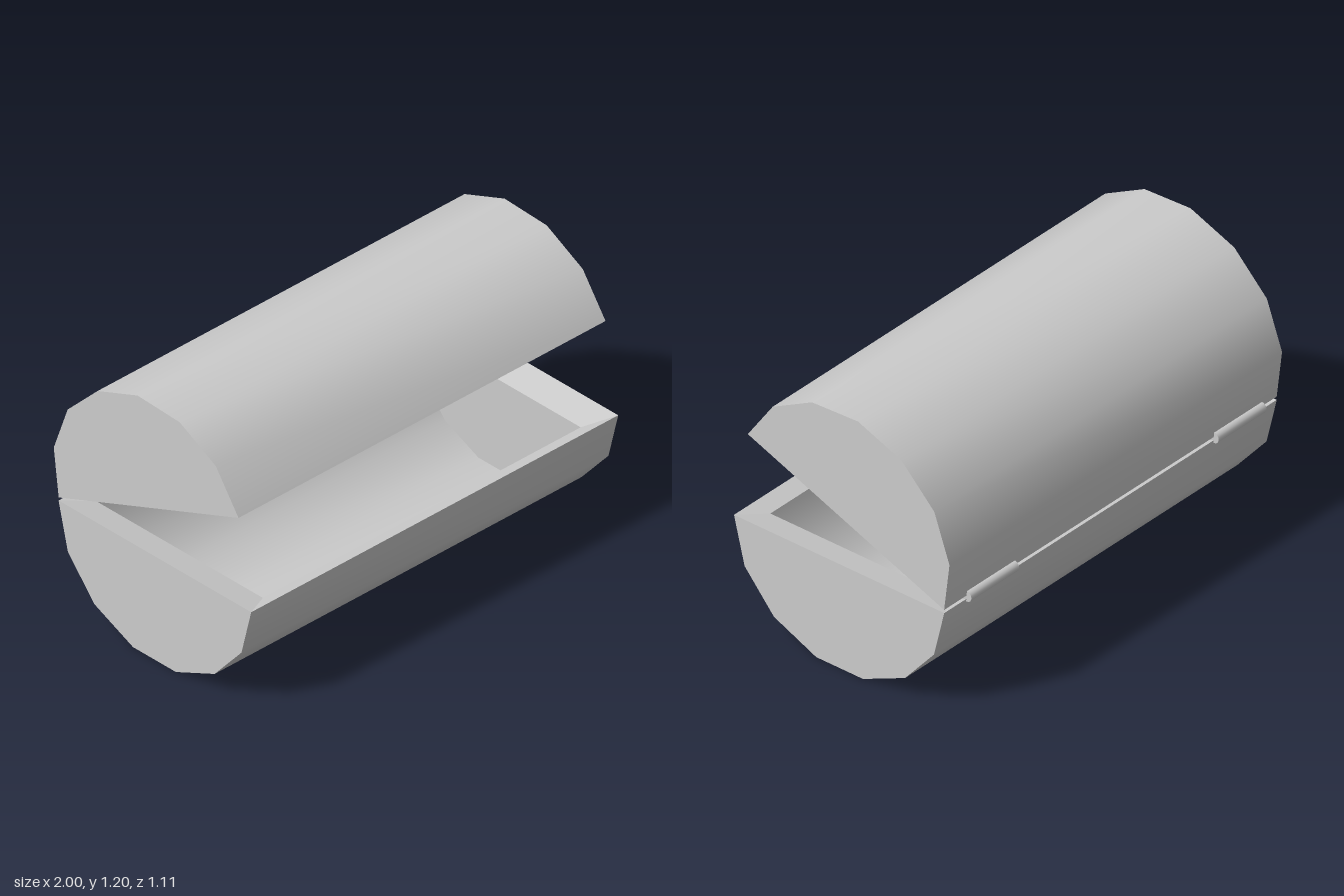
import * as THREE from 'three';
import { toCreasedNormals } from 'three/addons/utils/BufferGeometryUtils.js';

const SIDES = 7;          // facets around each half
const RZ = 0.543, RY = 0.5; // outer radii of the half drum
const INNER = 0.866, DROP = 0.03; // cavity scale and rim bevel depth

const grey = new THREE.MeshStandardMaterial({ color: 0xcccccc });
const greyFlat = new THREE.MeshStandardMaterial({ color: 0xcccccc, flatShading: true });

// Geometry from a list of polygons, each split as a fan
function fromPolygons(polygons) {
  const pos = [];
  for (const p of polygons) {
    for (let i = 1; i < p.length - 1; i++) pos.push(...p[0], ...p[i], ...p[i + 1]);
  }
  const g = new THREE.BufferGeometry();
  g.setAttribute('position', new THREE.Float32BufferAttribute(pos, 3));
  g.computeVertexNormals();
  return g;
}

// Half drum skin with end walls, open at the top; inward turns the faces round
function skin(scale, drop, inward) {
  const ring = (x) => Array.from({ length: SIDES + 1 }, (_, k) => {
    const a = (Math.PI * k) / SIDES;
    return [x * scale, -drop - RY * scale * Math.sin(a), RZ * scale * Math.cos(a)];
  });
  const left = ring(1), right = ring(-1);
  const polygons = [left, [...right].reverse()];
  for (let k = 0; k < SIDES; k++) {
    polygons.push([right[k], right[k + 1], left[k + 1], left[k]]);
  }
  if (inward) polygons.forEach((p) => p.reverse());
  return toCreasedNormals(fromPolygons(polygons), 0.7);
}

// Mitred rim sloping from the outer edge down to the cavity
function rimGeometry() {
  const corners = [[1, 1], [1, -1], [-1, -1], [-1, 1]];
  const outer = corners.map(([x, z]) => [x, 0, z * RZ]);
  const inner = corners.map(([x, z]) => [x * INNER, -DROP, z * RZ * INNER]);
  return fromPolygons(corners.map((_, i) => {
    const j = (i + 1) % 4;
    return [outer[i], outer[j], inner[j], inner[i]];
  }));
}

function addMesh(parent, name, geometry, material = grey) {
  const mesh = new THREE.Mesh(geometry, material);
  mesh.name = name;
  parent.add(mesh);
  return mesh;
}

function makeHalf(name) {
  const half = new THREE.Group();
  half.name = name;
  addMesh(half, name + 'Shell', skin(1, 0, false));
  addMesh(half, name + 'Cavity', skin(INNER, DROP, true));
  addMesh(half, name + 'Rim', rimGeometry(), greyFlat);
  return half;
}

export function createModel() {
  const model = new THREE.Group();
  model.name = 'hingedDrumCase';

  // Lower half, very slightly tilted
  const base = makeHalf('base');
  base.position.set(0, 0.488, 0.013);
  base.rotation.x = 0.005;
  model.add(base);

  // Upper half, turned over and swung open about the back edge
  const lid = makeHalf('lid');
  lid.position.set(0, 0.7, -0.0225);
  lid.rotation.set(-0.367, 0, Math.PI);
  model.add(lid);

  // Hinge barrels along the back edge
  for (const [name, x] of [['leftHinge', 0.722], ['rightHinge', -0.765]]) {
    const barrel = addMesh(model, name, new THREE.CylinderGeometry(0.025, 0.025, 0.288, 20));
    barrel.rotation.z = Math.PI / 2;
    barrel.position.set(x, 0.503, -0.53);
  }
  return model;
}
